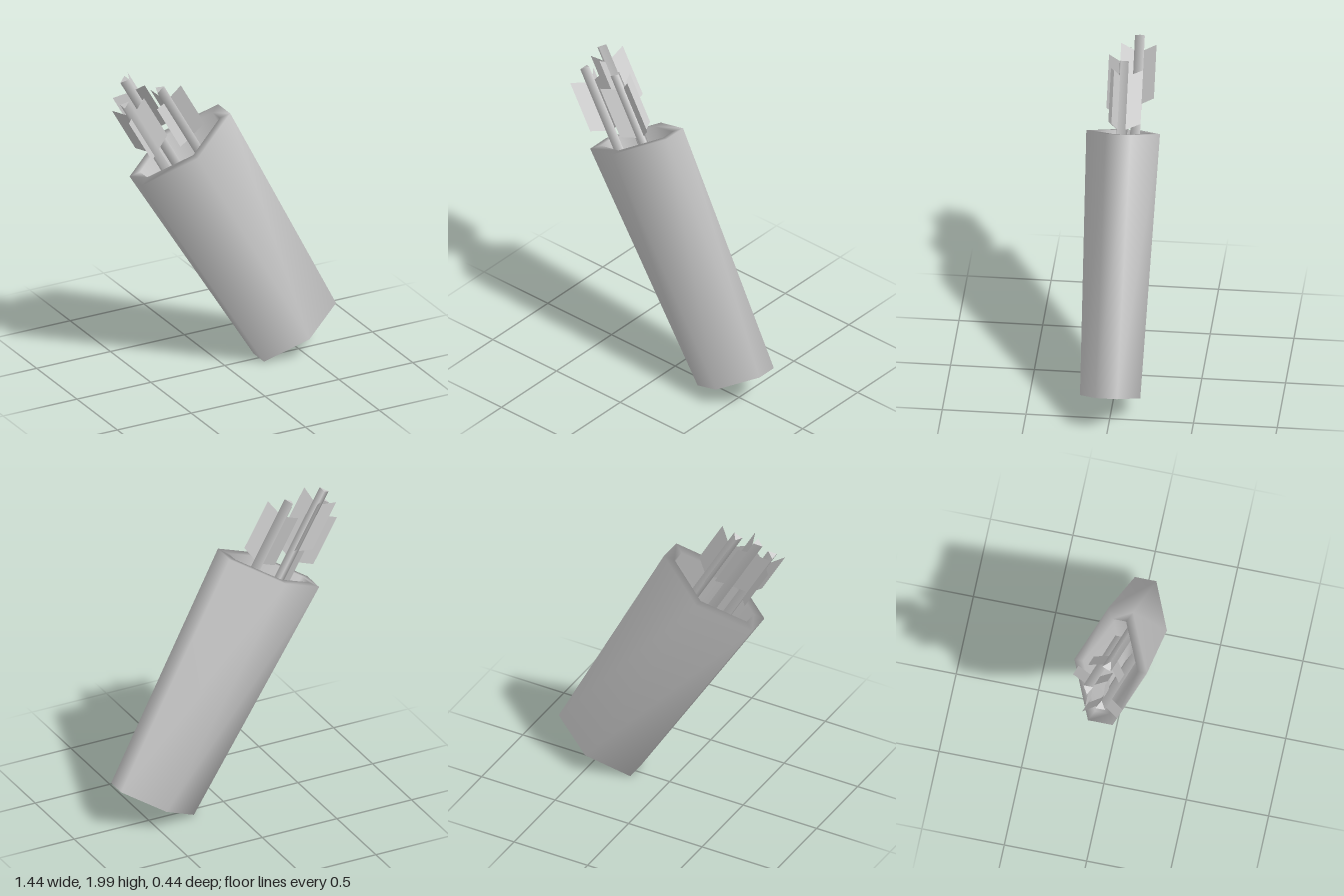
import * as THREE from 'three';

const material = new THREE.MeshStandardMaterial({ color: 0xcccccc, side: THREE.DoubleSide });

function buildGeometry(points, index) {
  const g = new THREE.BufferGeometry();
  g.setAttribute('position', new THREE.Float32BufferAttribute(points, 3));
  g.setIndex(index);
  g.computeVertexNormals();
  return g;
}

function addMesh(parent, name, geometry) {
  const mesh = new THREE.Mesh(geometry, material);
  mesh.name = name;
  parent.add(mesh);
  return mesh;
}

// Tapered six-sided case: outer wall, rim and inner wall as a chain of hexagons
function caseGeometry() {
  // y, half width, half depth of the end faces, half depth in the middle
  const rings = [
    [-1.575, 0.28, 0.065, 0.18],
    [0, 0.345, 0.075, 0.22],
    [0, 0.283, 0.043, 0.165],
    [-1.52, 0.23, 0.037, 0.135],
  ];
  const points = [], index = [];
  for (const [y, w, e, m] of rings) {
    points.push(w, y, e, 0, y, m, -w, y, e, -w, y, -e, 0, y, -m, w, y, -e);
  }
  for (let r = 0; r < rings.length - 1; r++) {
    for (let i = 0; i < 6; i++) {
      const a = r * 6 + i, b = r * 6 + (i + 1) % 6;
      index.push(b, a, a + 6, b, a + 6, b + 6);
    }
  }
  // Underside and inner floor
  const last = (rings.length - 1) * 6;
  for (let i = 1; i < 5; i++) {
    index.push(0, i, i + 1);
    index.push(last, last + i + 1, last + i);
  }
  return buildGeometry(points, index);
}

// Swept fin lying along a shaft, pointing towards +x
function finGeometry() {
  const r = 0.03, R = 0.122;
  return buildGeometry(
    [r, -0.41, 0, R, -0.37, 0, R, -0.05, 0, r, -0.09, 0],
    [0, 1, 2, 0, 2, 3]
  );
}

// Three-sided shaft with a fin on each edge; origin at its upper end
function makeArrow(x, tip, z, degrees) {
  const arrow = new THREE.Group();
  arrow.name = 'arrow';
  const length = tip + 1.3;
  const angle = THREE.MathUtils.degToRad(degrees);
  const shaft = addMesh(arrow, 'shaft',
    new THREE.CylinderGeometry(0.034, 0.034, length, 3, 1, false, Math.PI / 2 - angle));
  shaft.position.y = -length / 2;
  for (let i = 0; i < 3; i++) {
    const fin = addMesh(arrow, 'fletching', finGeometry());
    fin.rotation.y = -(angle + i * Math.PI * 2 / 3);
  }
  arrow.position.set(x, tip, z);
  return arrow;
}

export function createModel() {
  const model = new THREE.Group();
  model.name = 'quiver';

  // Everything is built upright around the mouth, then leaned over
  const leaning = new THREE.Group();
  leaning.name = 'leaningQuiver';
  addMesh(leaning, 'case', caseGeometry());
  leaning.add(
    makeArrow(-0.058, 0.58, -0.068, 180),
    makeArrow(0.07, 0.426, 0.015, 20),
    makeArrow(-0.16, 0.498, 0.02, 0)
  );
  leaning.rotation.z = THREE.MathUtils.degToRad(29.6);
  leaning.position.set(-0.303, 1.51, 0);
  model.add(leaning);
  return model;
}
